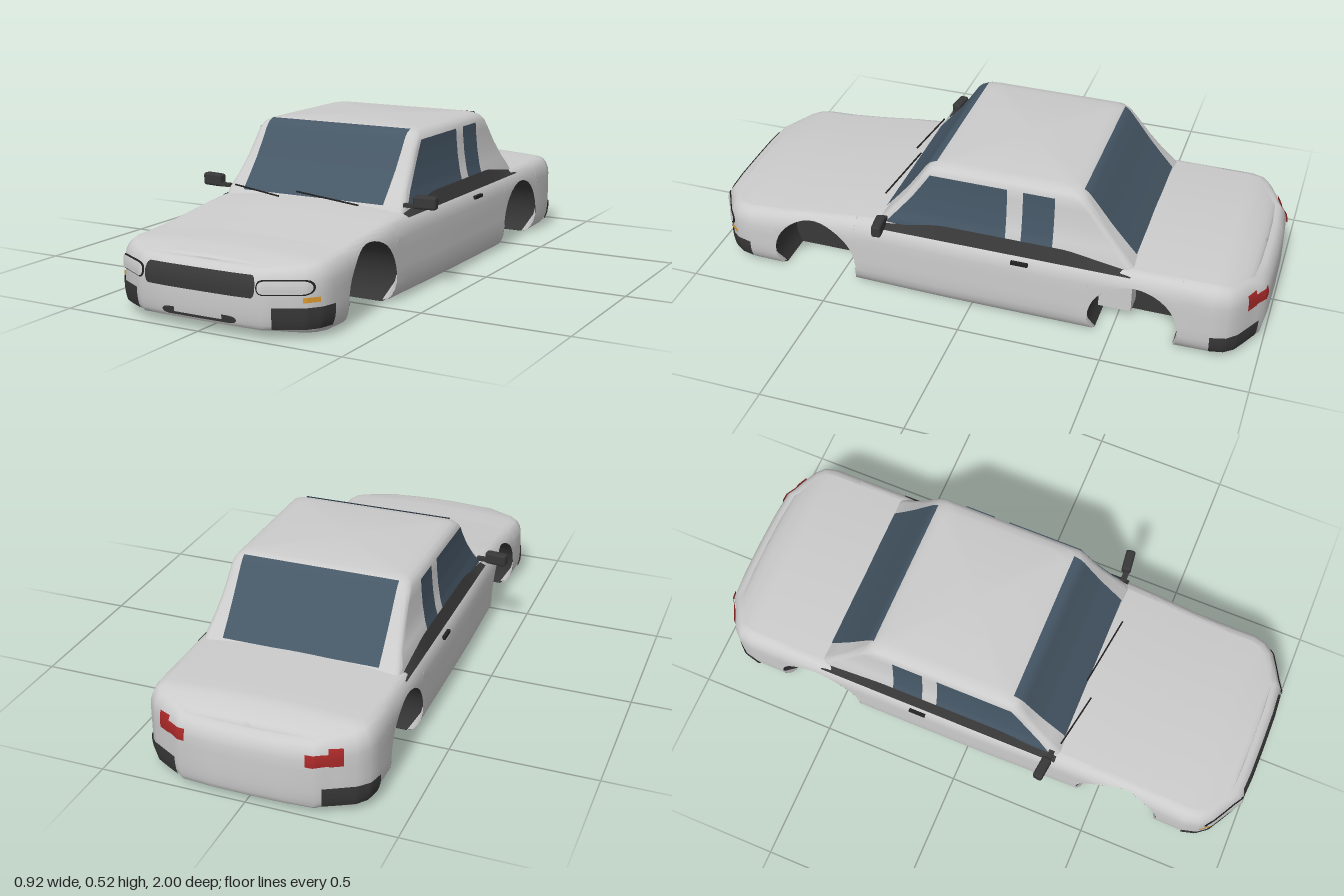
import * as THREE from 'three';
import { toCreasedNormals } from 'three/addons/utils/BufferGeometryUtils.js';
import { RoundedBoxGeometry } from 'three/addons/geometries/RoundedBoxGeometry.js';

const paint = (color) => new THREE.MeshStandardMaterial({ color, side: THREE.DoubleSide });
const GREY = paint(0xcccccc), DARK = paint(0x383838), BLACK = paint(0x222222), GLASS = paint(0x465766);
const RED = paint(0xa82828), AMBER = paint(0xdd9a30);
const lerp = THREE.MathUtils.lerp;

// Linear lookup in rows sorted by their first value, rising
function interp(table, v, k = 1) {
  let i = 1;
  while (i < table.length - 1 && table[i][0] < v) i++;
  const a = table[i - 1], b = table[i];
  return lerp(a[k], b[k], THREE.MathUtils.clamp((v - a[0]) / (b[0] - a[0]), 0, 1));
}

// Surface through a grid of points: fn(i, j) gives [x, y, z]
function grid(nu, nv, fn) {
  const pos = [], index = [];
  for (let j = 0; j <= nv; j++) for (let i = 0; i <= nu; i++) pos.push(...fn(i, j));
  for (let j = 0; j < nv; j++) for (let i = 0; i < nu; i++) {
    const a = j * (nu + 1) + i, c = a + nu + 1;
    index.push(a, a + 1, c, a + 1, c + 1, c);
  }
  const g = new THREE.BufferGeometry();
  g.setAttribute('position', new THREE.Float32BufferAttribute(pos, 3));
  g.setIndex(index);
  return toCreasedNormals(g, 0.65);
}

// Wheel arches
const ARCHES = [0.58, -0.577], R = 0.155, AY = 0.08, WELL = 0.2, FOOT = 0.137;

// Body heights along z: shoulder edge and underside
const TOP = [[-1, 0.25], [-0.95, 0.272], [-0.88, 0.284], [-0.56, 0.284], [0.33, 0.281], [0.465, 0.27],
  [0.73, 0.24], [0.88, 0.231], [0.95, 0.224], [1, 0.218]];
const BASE = [[-1, 0.025], [-0.8, 0.005], [0.8, 0.005], [1, 0.035]];
// Plan outline, as half widths
const FRONT = [[0, 0.996], [0.12, 0.995], [0.22, 0.988], [0.25, 0.968], [0.29, 0.945], [0.335, 0.918], [0.365, 0.88], [0.378, 0.83]];
const REAR = [[0, -1], [0.12, -0.998], [0.225, -0.99], [0.25, -0.972], [0.29, -0.95], [0.34, -0.922], [0.37, -0.89], [0.382, -0.84]];
const SIDE = [[-0.84, 0.382], [-0.2, 0.384], [0.1, 0.383], [0.4, 0.376], [0.6, 0.371], [0.72, 0.374], [0.83, 0.378]];

function makePlan() {
  const pts = FRONT.map(([x, z]) => ({ x, z }));
  const side = (z, extra) => pts.push({ x: interp(SIDE, z), z, ...extra });
  for (const c of ARCHES) {
    side(c + R, { c });
    for (let k = 0; k <= 20; k++) {
      const a = Math.PI * k / 20;
      side(c + R * Math.cos(a), { c, low: AY + R * Math.sin(a) });
    }
    side(c - R, { c });
    if (c > 0) for (let z = 0.35; z > -0.4; z -= 0.1) side(z);
  }
  pts.push(...REAR.map(([x, z]) => ({ x, z })).reverse());
  pts.forEach((p, i) => {
    const a = pts[Math.max(i - 1, 0)], b = pts[Math.min(i + 1, pts.length - 1)];
    const n = p.x === 0 ? new THREE.Vector2(0, Math.sign(p.z)) : new THREE.Vector2(a.z - b.z, b.x - a.x).normalize();
    p.nx = n.x; p.nz = n.y;
  });
  return pts;
}
const PLAN = makePlan();

// Point on the body wall over a plan point, pushed out by off
function wall(p, y, off = 0) {
  const round = (d, size) => d >= 1 ? 0 : size * (1 - Math.sqrt(1 - (1 - Math.max(d, 0)) ** 2));
  const inset = round((y - interp(BASE, p.z)) / 0.08, 0.05 * (1 - 0.75 * Math.abs(p.nz)))
    + round((interp(TOP, p.z) - y) / 0.07, 0.045);
  let z = p.z;
  if (p.c !== undefined && !p.low && y < AY) z = p.c + Math.sign(z - p.c) * Math.sqrt(R * R - (y - AY) ** 2);
  return [Math.max(0, p.x + p.nx * (off - inset)), y, z + p.nz * (off - inset)];
}

// Trim lying on the front (end = 1) or rear (end = -1) wall, x0..x1 by y0..y1, with rounded ends
function trim(end, s, x0, x1, y0, y1, off, round = 0) {
  const ends = PLAN.slice(...(end > 0 ? [0, FRONT.length] : [-REAR.length])).sort((a, b) => a.x - b.x);
  const rows = ends.map((p) => [p.x, p.z, p.nx, p.nz]);
  return grid(32, 12, (i, j) => {
    const v = j / 12, e = round * (1 - Math.sqrt(1 - (2 * v - 1) ** 2));
    const x = lerp(x0 + e, x1 - e, i / 32), a = Math.abs(x);
    const p = { x: a, z: interp(rows, a), nx: interp(rows, a, 2), nz: interp(rows, a, 3) };
    const q = wall(p, lerp(y0, y1, v), off);
    return [q[0] * s * (x < 0 ? -1 : 1), q[1], q[2]];
  });
}

// Cabin levels: y, front z, rear z, half width, corner radius
const CABIN = [[0.26, 0.355, -0.585, 0.35, 0.025], [0.30, 0.33, -0.55, 0.346, 0.025], [0.34, 0.295, -0.515, 0.335, 0.025],
  [0.40, 0.245, -0.465, 0.325, 0.025], [0.46, 0.203, -0.42, 0.319, 0.025], [0.495, 0.18, -0.393, 0.317, 0.03],
  [0.512, 0.165, -0.378, 0.308, 0.035], [0.522, 0.145, -0.36, 0.293, 0.04], [0.527, 0.115, -0.335, 0.265, 0.04], [0.53, -0.11, -0.11, 0, 0]];
const cabinZ = (y, front) => interp(CABIN, y, front ? 1 : 2);

export function createModel() {
  const car = new THREE.Group();
  const add = (name, geometry, material) => {
    const m = new THREE.Mesh(geometry, material);
    m.name = name;
    car.add(m);
    return m;
  };

  // Body wall, running once round the outline
  const ring = [...PLAN.map((p) => [p, 1]), ...PLAN.slice(0, -1).reverse().map((p) => [p, -1])];
  const T = [0, 0.03, 0.08, 0.15, 0.25, 0.4, 0.6, 0.75, 0.83, 0.9, 0.95, 0.98, 1];
  add('bodySides', grid(ring.length - 1, T.length - 1, (i, j) => {
    const [p, s] = ring[i];
    const q = wall(p, lerp(p.low || interp(BASE, p.z), interp(TOP, p.z), T[j]));
    return [q[0] * s, q[1], q[2]];
  }), GREY);

  // Bonnet and boot deck, gently crowned
  add('upperDeck', grid(16, PLAN.length - 1, (i, j) => {
    const q = wall(PLAN[j], interp(TOP, PLAN[j].z)), u = i / 8 - 1;
    return [q[0] * u, q[1] + 0.045 * q[0] * (1 - u * u), q[2]];
  }), GREY);

  // Underside, narrowed between the wheel wells
  add('floor', grid(2, PLAN.length - 1, (i, j) => {
    const p = PLAN[j], q = wall(p, interp(BASE, p.z));
    if (p.low) q[2] = p.c + THREE.MathUtils.clamp(p.z - p.c, -FOOT, FOOT);
    return [(p.low ? WELL : q[0]) * (1 - i), q[1], q[2]];
  }), BLACK);

  // Wheel wells
  const a0 = -0.5, a1 = Math.PI + 0.5;
  for (const c of ARCHES) for (const s of [1, -1]) {
    add('wheelWell', grid(28, 1, (i, j) => {
      const a = lerp(a0, a1, i / 28), z = c + R * Math.cos(a), y = AY + R * Math.sin(a);
      const outer = wall({ x: interp(SIDE, z), z, nx: 1, nz: 0 }, Math.max(y, 0.005))[0];
      return [s * (j ? outer : WELL), y, z];
    }), DARK);
    const disc = new THREE.Shape().absarc(0, 0, R, a0, a1, false);
    const inner = add('wheelWellInner', new THREE.ShapeGeometry(disc, 28), DARK);
    inner.rotation.y = -Math.PI / 2;
    inner.position.set(s * WELL, AY, c);
    if (c < 0) add('wellBox', new THREE.BoxGeometry(0.08, 0.12, 0.115), GREY).position.set(s * 0.235, 0.11, -0.4925);
  }

  // Cabin shell with rounded corners, closing at the roof
  const corners = [[1, 1], [1, -1], [-1, -1], [-1, 1]];
  add('cabin', grid(24, CABIN.length - 1, (i, j) => {
    const [y, zf, zr, w, r] = CABIN[j], n = i % 24, k = Math.floor(n / 6);
    const a = (k + (n % 6) / 5) * Math.PI / 2, [sx, sz] = corners[k];
    return [sx * (w - r) + r * Math.sin(a), y, (sz > 0 ? zf - r : zr + r) + r * Math.cos(a)];
  }), GREY);

  // Windscreen and rear window
  for (const front of [true, false]) add(front ? 'windscreen' : 'rearWindow', grid(1, 24, (i, j) => {
    const y = lerp(0.295, front ? 0.523 : 0.518, j / 24);
    return [(i * 2 - 1) * 0.275, y + 0.003, cabinZ(y, front) + (front ? 0.004 : -0.004)];
  }), GLASS);

  for (const s of [1, -1]) {
    // Side windows, the front one following the screen pillar
    const pane = (name, zFront, zRear) => add(name, grid(1, 20, (i, j) => {
      const y = lerp(0.29, 0.494, j / 20);
      return [s * (interp(CABIN, y, 3) + 0.004), y, i ? zRear : zFront(y)];
    }), GLASS);
    pane('frontSideWindow', (y) => cabinZ(y, true) - 0.028, -0.12);
    pane('rearSideWindow', () => -0.175, -0.285);

    // Dark belt below the windows
    add('beltTrim', grid(30, 2, (i, j) => {
      const u = i / 30, rise = Math.min(1, u * 4, (1 - u) * 4), v = j / 2;
      return [s * lerp(0.37, 0.349, v), lerp(0.267, 0.277 + 0.038 * rise, v), lerp(0.335, -0.56, u)];
    }), DARK);

    // Door mirror and handle
    const mirror = add('doorMirror', new RoundedBoxGeometry(0.08, 0.044, 0.034, 2, 0.009), DARK);
    mirror.position.set(s * 0.417, 0.316, 0.308);
    mirror.rotation.y = s * 0.12;
    add('mirrorArm', new THREE.BoxGeometry(0.05, 0.012, 0.02), DARK).position.set(s * 0.367, 0.302, 0.315);
    add('doorHandle', new THREE.BoxGeometry(0.014, 0.011, 0.06), BLACK).position.set(s * 0.381, 0.245, -0.182);

    // Lamps and corner bumpers
    add('headlampRim', trim(1, s, 0.203, 0.352, 0.143, 0.19, 0.004, 0.02), BLACK);
    add('headlamp', trim(1, s, 0.208, 0.347, 0.147, 0.186, 0.007, 0.018), GREY);
    add('indicator', trim(1, s, 0.325, 0.361, 0.12, 0.136, 0.004), AMBER);
    add('frontBumper', trim(1, s, 0.245, 0.378, 0.036, 0.105, 0.005), DARK);
    add('rearBumper', trim(-1, s, 0.245, 0.382, 0.03, 0.1, 0.005), DARK);
    add('tailLamp', trim(-1, s, 0.2, 0.27, 0.18, 0.22, 0.005), RED);
    add('tailLampCorner', trim(-1, s, 0.265, 0.305, 0.178, 0.238, 0.006), RED);
  }

  // Nose
  add('grille', trim(1, 1, -0.2, 0.2, 0.132, 0.2, 0.004, 0.012), DARK);
  add('airIntake', trim(1, 1, -0.135, 0.135, 0.045, 0.069, 0.004, 0.025), DARK);
  add('plate', trim(1, 1, -0.088, 0.086, 0.055, 0.099, 0.007), GREY);

  // Wipers
  for (const [x0, x1] of [[-0.31, -0.11], [-0.06, 0.2]]) {
    const path = new THREE.LineCurve3(new THREE.Vector3(x0, 0.311, 0.335), new THREE.Vector3(x1, 0.296, 0.37));
    add('wiper', new THREE.TubeGeometry(path, 1, 0.003, 6), BLACK);
  }
  return car;
}
